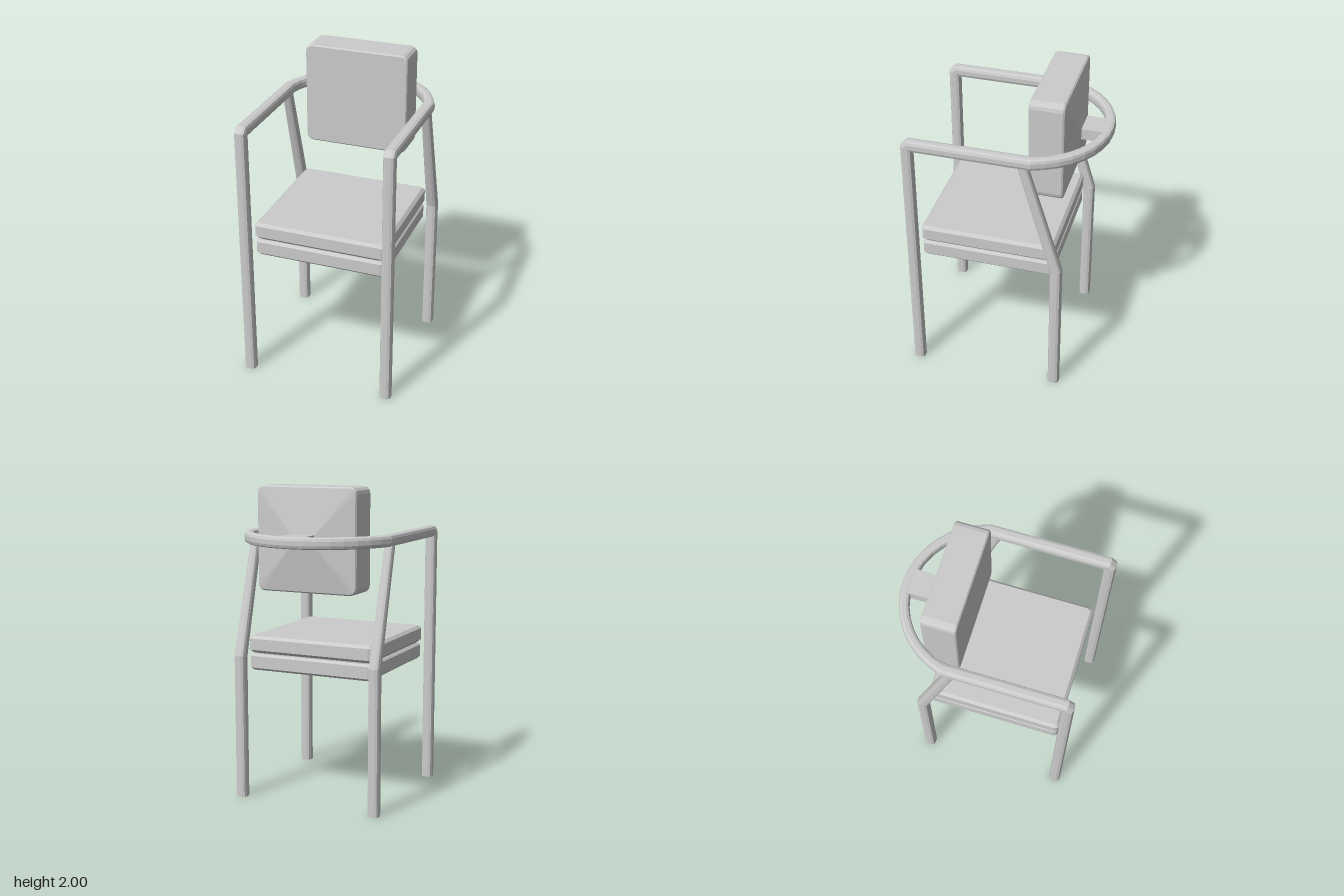
import * as THREE from 'three';

const grey = new THREE.MeshStandardMaterial({ color: 0xcccccc, flatShading: true, side: THREE.DoubleSide });
const V = (x, y, z) => new THREE.Vector3(x, y, z);

// Skin a list of equal-length rings and cap both ends
function loft(name, rings) {
  const n = rings[0].length, pos = [], idx = [];
  rings.forEach(r => r.forEach(p => pos.push(p.x, p.y, p.z)));
  for (let i = 0; i < rings.length - 1; i++) {
    for (let j = 0; j < n; j++) {
      const a = i * n + j, b = i * n + (j + 1) % n;
      idx.push(a, b, b + n, a, b + n, a + n);
    }
  }
  const last = (rings.length - 1) * n;
  for (let j = 1; j < n - 1; j++) idx.push(0, j + 1, j, last, last + j, last + j + 1);
  const g = new THREE.BufferGeometry();
  g.setAttribute('position', new THREE.Float32BufferAttribute(pos, 3));
  g.setIndex(idx);
  g.computeVertexNormals();
  const mesh = new THREE.Mesh(g, grey);
  mesh.name = name;
  return mesh;
}

// Corner points of a rounded rectangle, counter-clockwise
function roundedRect(hx, hy, r, seg = 3) {
  const pts = [];
  [[1, 1], [-1, 1], [-1, -1], [1, -1]].forEach(([sx, sy], q) => {
    for (let k = 0; k <= seg; k++) {
      const a = (q + k / seg) * Math.PI / 2;
      pts.push([sx * (hx - r) + r * Math.cos(a), sy * (hy - r) + r * Math.sin(a)]);
    }
  });
  return pts;
}

// Sweep a soft-cornered section from a vertical start, with mitred bends.
// squeeze(i) narrows the section horizontally at point i.
function sweep(name, path, squeeze = () => 1) {
  let ring = roundedRect(0.036, 0.036, 0.022, 2).map(([u, v]) => V(path[0].x + u, path[0].y, path[0].z - v));
  const rings = [];
  path.forEach((p, i) => {
    if (i > 0) {
      const dIn = p.clone().sub(path[i - 1]).normalize();
      const normal = dIn.clone();
      if (i < path.length - 1) normal.add(path[i + 1].clone().sub(p).normalize()).normalize();
      ring = ring.map(q => q.clone().addScaledVector(dIn, p.clone().sub(q).dot(normal) / dIn.dot(normal)));
    }
    const s = squeeze(i);
    rings.push(ring.map(q => V(p.x + (q.x - p.x) * s, q.y, p.z + (q.z - p.z) * s)));
  });
  return loft(name, rings);
}

// Flat cushion with bevelled upper and lower edges
function slab(name, hx, hz, y0, y1, zc, bevel) {
  const ring = (inset, y) =>
    roundedRect(hx - inset, hz - inset, 0.024, 2).map(([u, v]) => V(u, y, zc - v));
  return loft(name, [ring(bevel, y0), ring(0, y0 + bevel), ring(0, y1 - bevel), ring(bevel, y1)]);
}

export function createModel() {
  const chair = new THREE.Group();
  chair.name = 'armchair';
  const X = 0.463, ARM_Y = 1.678;

  // Front legs, armrests and curved back rail as one continuous bar
  const half = [V(X, 0, 0.555), V(X, ARM_Y - 0.015, 0.555), V(X, ARM_Y, 0.54)];
  const sag = 0.3625, R = (X * X + sag * sag) / (2 * sag), zc = -0.2 + R - sag;
  const end = Math.asin(X / R), steps = 8;
  const arc = [];
  for (let k = 0; k <= 2 * steps; k++) {
    const a = end * (1 - k / steps);
    arc.push(V(R * Math.sin(a), ARM_Y, zc - R * Math.cos(a)));
  }
  const mirrored = half.map(p => V(-p.x, p.y, p.z)).reverse();
  const path = [...half, ...arc, ...mirrored];
  chair.add(sweep('armFrame', path, i => (i > 3 && i < 3 + 2 * steps ? 0.86 : 1)));

  // Rear legs, bent forward above the seat to meet the armrests
  for (const s of [1, -1]) {
    const leg = [V(s * X, 0, -0.366), V(s * X, 0.92, -0.366), V(s * X, 1.67, -0.146)];
    chair.add(sweep(s > 0 ? 'leftRearLeg' : 'rightRearLeg', leg, i => (i === 2 ? 0.82 : 1)));
  }

  // Seat base, cushion and the recessed seam between them
  chair.add(slab('seatBase', 0.42, 0.422, 0.832, 0.936, 0.09, 0.014));
  chair.add(slab('seatCushion', 0.425, 0.425, 0.943, 1.052, 0.09, 0.018));
  chair.add(slab('seatSeam', 0.4, 0.4, 0.93, 0.95, 0.09, 0.002));

  // Backrest: upright padded block tapering at the rear
  const BY = 1.676;
  const backRing = (hx, hy, r, z) => roundedRect(hx, hy, r).map(([u, v]) => V(-u, BY + v, z));
  chair.add(loft('backrest', [
    backRing(0.327, 0.316, 0.035, -0.15),
    backRing(0.334, 0.324, 0.042, -0.158),
    backRing(0.334, 0.324, 0.042, -0.352),
    backRing(0.327, 0.316, 0.035, -0.362),
    backRing(0.08, 0.036, 0.002, -0.41),
  ]));

  // Bracket joining backrest and rail
  const bracket = new THREE.Mesh(new THREE.BoxGeometry(0.16, 0.07, 0.155), grey);
  bracket.name = 'backrestBracket';
  bracket.position.set(0, ARM_Y, -0.4825);
  chair.add(bracket);

  return chair;
}
